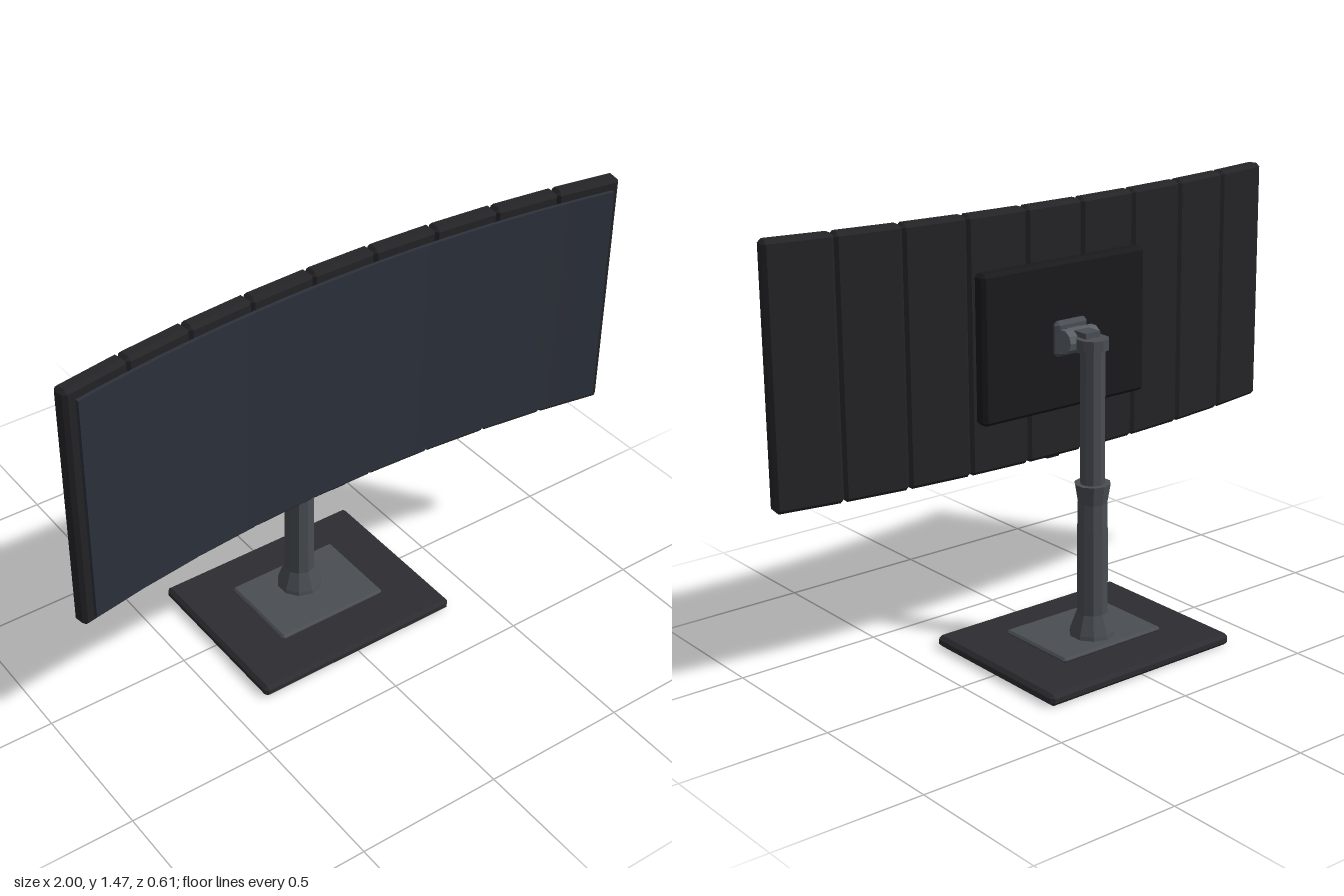
import * as THREE from 'three';
import { ConvexGeometry } from 'three/addons/geometries/ConvexGeometry.js';

const material = (color, flatShading = true) => new THREE.MeshStandardMaterial({ color, flatShading });
const SIDES = 10;
const COLUMN_Z = -0.046;

// Curve of the panel: radius and centre depth of its back surface
const RADIUS = 5.18, BACK_Z = 0.1375, HALF_ANGLE = Math.asin(1 / RADIUS);
const SEGMENTS = 9, DEPTH = 0.055;

// Box with all edges cut at 45 degrees
function chamferBox(w, h, d, c) {
  const points = [];
  for (const x of [-1, 1]) for (const y of [-1, 1]) for (const z of [-1, 1]) {
    for (let axis = 0; axis < 3; axis++) {
      const inset = [c, c, c];
      inset[axis] = 0;
      points.push(new THREE.Vector3(
        x * (w / 2 - inset[0]), y * (h / 2 - inset[1]), z * (d / 2 - inset[2])));
    }
  }
  return new ConvexGeometry(points);
}

// Thin slab wrapped around the panel's curve, off = distance in front of its back
function curvedSlab(w, h, d, off) {
  const geometry = new THREE.BoxGeometry(w, h, d, 36, 1, 1);
  const p = geometry.attributes.position;
  for (let i = 0; i < p.count; i++) {
    const a = p.getX(i) / RADIUS, r = RADIUS - off - p.getZ(i);
    p.setXYZ(i, Math.sin(a) * r, p.getY(i), BACK_Z + RADIUS - Math.cos(a) * r);
  }
  geometry.computeVertexNormals();
  return geometry;
}

export function createModel() {
  const model = new THREE.Group();
  const shell = material(0x242427), plate = material(0x1a1a1d), baseMat = material(0x2d2d31);
  const metal = material(0x4a4e54), light = material(0x5a6067), glass = material(0x2c313b, false);

  function add(name, geometry, mat, x, y, z, parent = model) {
    const mesh = new THREE.Mesh(geometry, mat);
    mesh.name = name;
    mesh.position.set(x, y, z);
    parent.add(mesh);
    return mesh;
  }

  // Foot
  add('base', chamferBox(0.754, 0.04, 0.61, 0.012), baseMat, 0, 0.02, 0);
  add('baseTray', chamferBox(0.41, 0.017, 0.306, 0.007), metal, 0, 0.0535, 0);
  add('columnFoot', new THREE.CylinderGeometry(0.072, 0.072, 0.02, SIDES), metal, 0, 0.047, COLUMN_Z);

  // Column: flared sleeve, sliding pole and cap
  const profile = [[0, 0.058], [0.078, 0.058], [0.075, 0.075], [0.052, 0.14], [0.051, 0.43],
    [0.049, 0.52], [0.06, 0.585], [0, 0.585]].map(([r, y]) => new THREE.Vector2(r, y));
  add('columnSleeve', new THREE.LatheGeometry(profile, SIDES), metal, 0, 0, COLUMN_Z);
  add('columnPole', new THREE.CylinderGeometry(0.041, 0.041, 0.47, SIDES), metal, 0, 0.805, COLUMN_Z);
  add('columnCap', new THREE.CylinderGeometry(0.053, 0.053, 0.036, SIDES), metal, 0, 1.047, COLUMN_Z);

  // Tilt joint
  add('tiltArm', new THREE.BoxGeometry(0.06, 0.07, 0.1), metal, 0, 1.048, 0.002);
  const hinge = add('tiltHinge', new THREE.CylinderGeometry(0.039, 0.039, 0.125, SIDES), light, 0, 1.047, 0.025);
  hinge.rotation.z = Math.PI / 2;
  add('mountPlate', chamferBox(0.13, 0.116, 0.032, 0.012), metal, 0, 1.047, 0.066);
  add('backPlate', chamferBox(0.66, 0.488, 0.054, 0.012), plate, 0, 1.047, 0.108);

  // Curved housing made of chamfered panels
  const housing = new THREE.Group();
  housing.name = 'housing';
  model.add(housing);
  const step = 2 * HALF_ANGLE / SEGMENTS;
  const panel = chamferBox(2 * RADIUS * Math.sin(step / 2) + 0.002, 0.84, DEPTH, 0.012);
  for (let i = 0; i < SEGMENTS; i++) {
    const a = (i - (SEGMENTS - 1) / 2) * step, r = RADIUS - DEPTH / 2;
    const mesh = add('housingPanel', panel, shell,
      Math.sin(a) * r, 1.046, BACK_Z + RADIUS - Math.cos(a) * r, housing);
    mesh.rotation.y = -a;
  }
  add('powerButton', new THREE.BoxGeometry(0.05, 0.01, 0.02), plate, 0, 0.624, 0.165);

  // Display surface floating just in front of the housing
  add('screen', curvedSlab(1.955, 0.775, 0.012, DEPTH + 0.012), glass, 0, 1.047, 0);

  return model;
}
